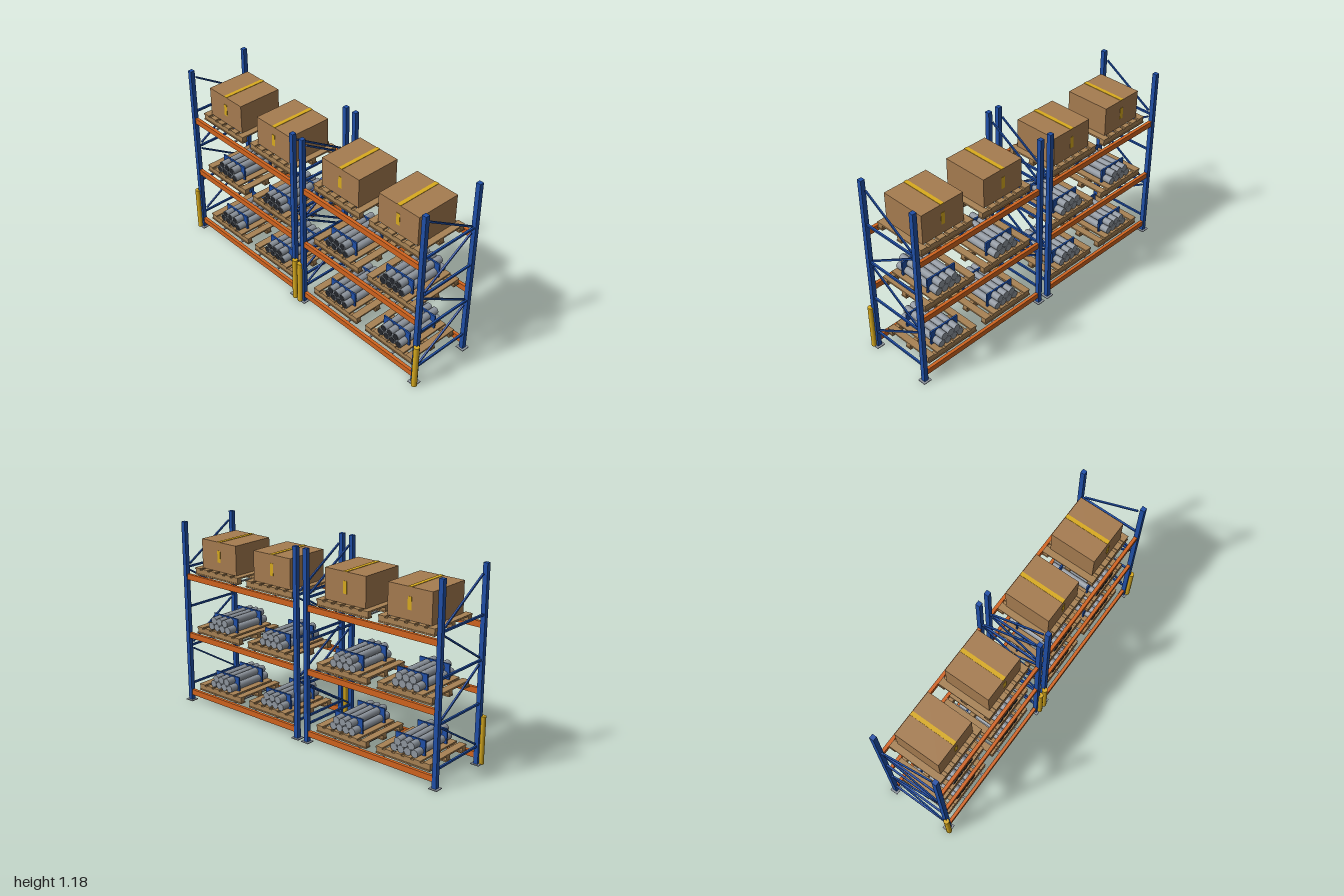
import * as THREE from 'three';

const mat = (name, color) => {
  const m = new THREE.MeshStandardMaterial({ color });
  m.name = name;
  return m;
};

export function createModel() {
  const blue = mat('blue paint', 0x1f4fa8);
  const orange = mat('orange paint', 0xd2641e);
  const yellow = mat('yellow', 0xd9ab1e);
  const wood = mat('pallet wood', 0xa88254);
  const card = mat('cardboard', 0xa67c50);
  const steel = mat('steel', 0x8f969f);
  const dark = mat('pipe hollow', 0x24272c);

  const root = new THREE.Group();
  root.name = 'palletRack';
  const ZC = -0.0035;        // rack centre in z
  const ZP = 0.2035;         // post offset from the centre
  const XP = 0.4635;         // post offset from the bay centre
  const levels = [0.075, 0.465, 0.853];

  const group = (name, parent, x = 0, y = 0, z = 0) => {
    const g = new THREE.Group();
    g.name = name;
    g.position.set(x, y, z);
    parent.add(g);
    return g;
  };
  const add = (name, parent, geo, m, x, y, z) => {
    const mesh = new THREE.Mesh(geo, m);
    mesh.name = name;
    mesh.position.set(x, y, z);
    parent.add(mesh);
    return mesh;
  };
  const box = (name, parent, m, w, h, d, x, y, z) =>
    add(name, parent, new THREE.BoxGeometry(w, h, d), m, x, y, z);

  // Upright frame: two posts, feet, horizontals and zigzag braces
  function uprightFrame(bay, x, side) {
    const f = group('uprightFrame', bay, x);
    for (const s of [-1, 1]) {
      box('post', f, blue, 0.028, 1.181, 0.028, 0, 0.5945, s * ZP);
      box('footPlate', f, steel, 0.054, 0.005, 0.052, 0, 0.0025, s * ZP);
    }
    for (let i = 0; i < 4; i++) {
      box('horizontalBrace', f, blue, 0.012, 0.012, 0.385, 0, 0.114 + i * 0.26, 0);
      const rise = i % 2 === 0 ? 1 : -1;
      const d = box('diagonalBrace', f, blue, 0.01, 0.01, 0.408, 0, 0.242 + i * 0.2595, 0);
      d.rotation.x = rise * Math.atan2(0.214, 0.345);
    }
    // Front post protector
    add('postGuard', f, new THREE.CylinderGeometry(0.0175, 0.0175, 0.295, 16), yellow,
      side * 0.0165, 0.1475, ZP + 0.017);
  }

  // Pallet: three runners with base boards, slats across the top
  function pallet(parent) {
    const p = group('pallet', parent);
    for (const z of [-0.158, 0, 0.158]) {
      box('baseBoard', p, wood, 0.374, 0.008, 0.04, 0, 0.004, z);
      box('runner', p, wood, 0.37, 0.025, 0.032, 0, 0.0205, z);
    }
    for (let i = 0; i < 6; i++)
      box('slat', p, wood, 0.046, 0.01, 0.354, -0.164 + i * 0.0656, 0.038, 0);
  }

  // Carton with tape on the top, front and back
  function carton(parent) {
    const c = group('carton', parent, 0, 0.043, 0);
    box('cartonBody', c, card, 0.294, 0.186, 0.293, 0, 0.093, 0);
    box('topTape', c, yellow, 0.025, 0.003, 0.294, 0, 0.187, 0);
    for (const s of [-1, 1])
      box('sideTape', c, yellow, 0.025, 0.075, 0.003, 0, 0.095, s * 0.147);
  }

  // Strapped bundle of seven pipes, four below and three nested above
  const R = 0.0236;
  const pipeGeo = new THREE.CylinderGeometry(R, R, 0.332, 12).rotateX(Math.PI / 2);
  const boreGeo = new THREE.CylinderGeometry(R * 0.84, R * 0.84, 0.002, 12).rotateX(Math.PI / 2);
  function pipeBundle(parent) {
    const b = group('pipeBundle', parent, 0, 0.043, 0.002);
    for (const [row, n] of [[0, 4], [1, 3]]) {
      for (let i = 0; i < n; i++) {
        const x = (i - (n - 1) / 2) * 2 * R, y = R + row * R * Math.sqrt(3);
        add('pipe', b, pipeGeo, steel, x, y, 0);
        add('pipeBore', b, boreGeo, dark, x, y, 0.1662);
      }
    }
    for (const z of [-0.104, 0.104])
      box('strap', b, blue, 0.206, 0.092, 0.01, 0, 0.046, z);
  }

  // Two bays side by side
  for (const side of [-1, 1]) {
    const bay = group(side < 0 ? 'rightBay' : 'leftBay', root, side * 0.5025, 0, ZC);
    for (const s of [-1, 1]) uprightFrame(bay, s * XP, s);

    levels.forEach((y, level) => {
      for (const s of [-1, 1])
        box('loadBeam', bay, orange, 0.905, 0.036, 0.02, 0, y - 0.018, s * 0.202);
      for (const x of [-0.27, -0.09, 0.09, 0.27])
        box('supportBar', bay, steel, 0.012, 0.007, 0.39, x, y - 0.0036, 0);
      for (const s of [-1, 1]) {
        const load = group('load', bay, s * 0.222, y, -0.004);
        pallet(load);
        if (level === 2) carton(load);
        else pipeBundle(load);
      }
    });
  }
  return root;
}
